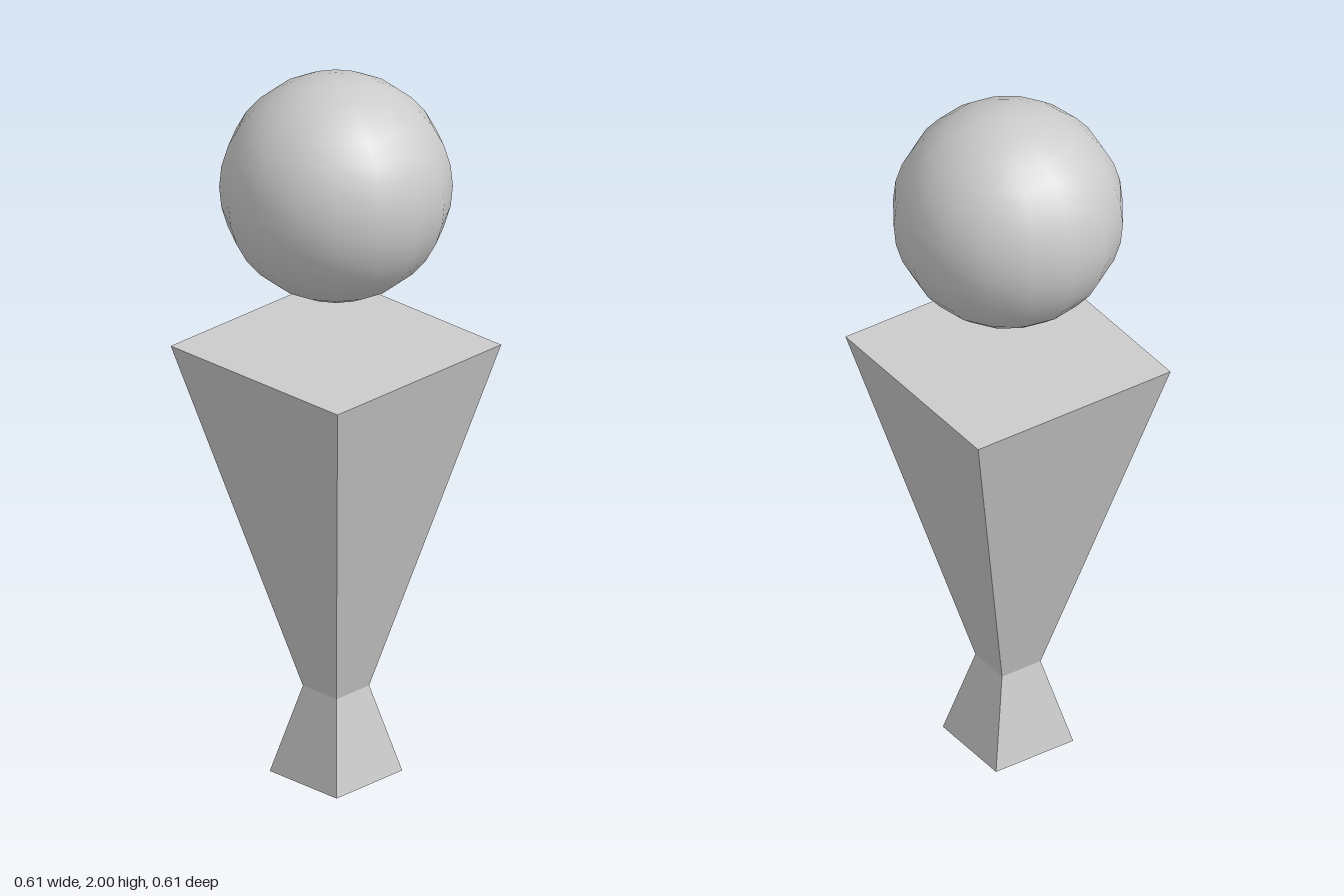
import * as THREE from 'three';

const grey = new THREE.MeshStandardMaterial({ color: 0xcccccc });
const greyFlat = new THREE.MeshStandardMaterial({ color: 0xcccccc, flatShading: true });

// Square frustum given by half widths and the heights of its ends
function frustum(name, topHalf, bottomHalf, y0, y1) {
  const geometry = new THREE.CylinderGeometry(topHalf * Math.SQRT2, bottomHalf * Math.SQRT2, y1 - y0, 4);
  geometry.rotateY(Math.PI / 4);
  const mesh = new THREE.Mesh(geometry, greyFlat);
  mesh.name = name;
  mesh.position.y = (y0 + y1) / 2;
  return mesh;
}

export function createModel() {
  const group = new THREE.Group();
  group.name = 'figure';

  // Flared foot and the inverted tapering body above it
  group.add(frustum('base', 0.0615, 0.123, 0, 0.247));
  group.add(frustum('body', 0.307, 0.0615, 0.247, 1.232));

  // Floating ball head
  const head = new THREE.Mesh(new THREE.SphereGeometry(0.307, 16, 16), grey);
  head.name = 'head';
  head.position.y = 1.693;
  group.add(head);

  return group;
}
